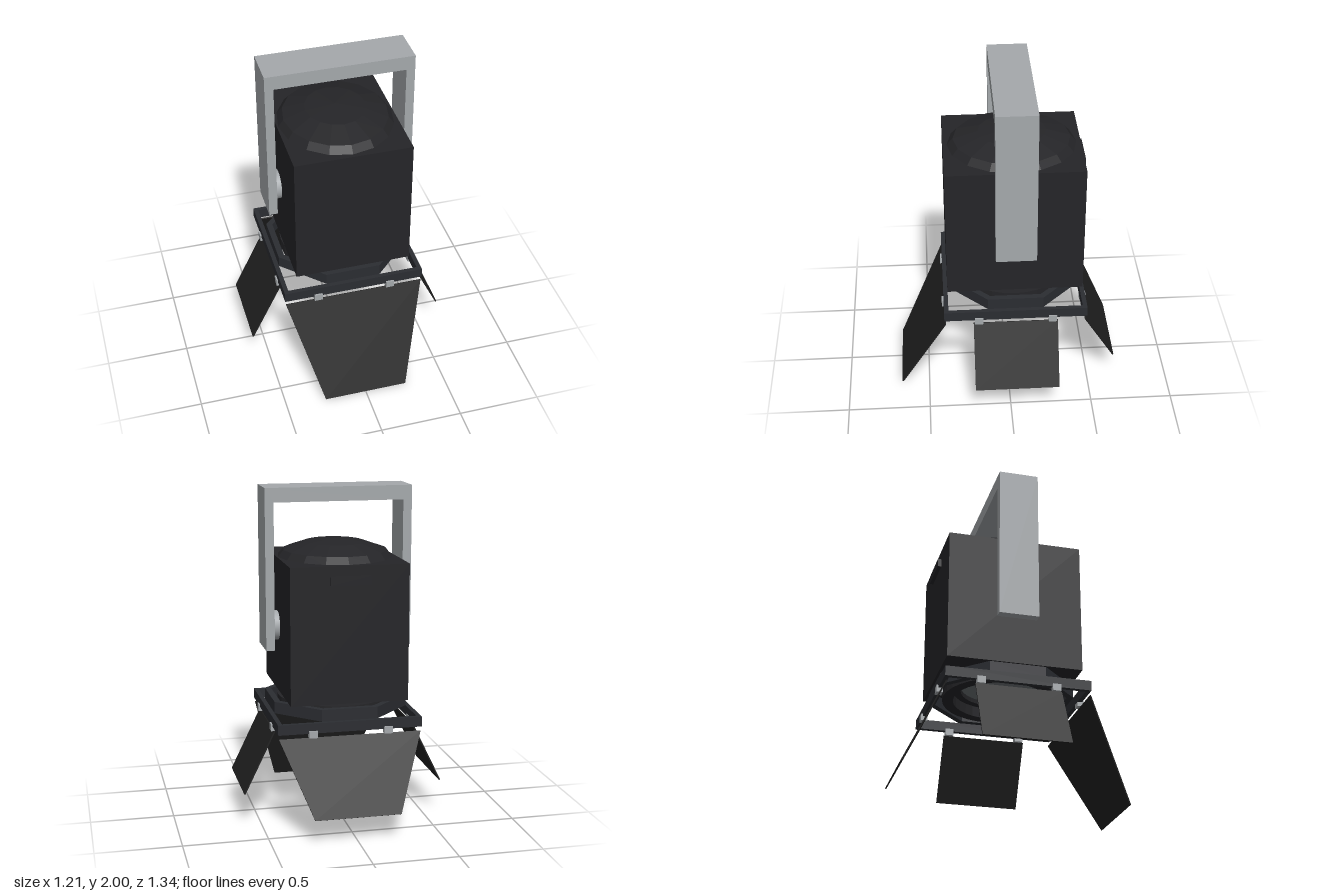
import * as THREE from 'three';

const CZ = -0.035; // depth of the lamp axis
const mat = (color, flat = true, side = THREE.FrontSide) =>
  new THREE.MeshStandardMaterial({ color, flatShading: flat, side });

export function createModel() {
  const root = new THREE.Group();
  const black = mat(0x252528), trim = mat(0x2b2d32), steel = mat(0xa5a9ac);
  const leafMat = mat(0x222222), glass = mat(0x6c7276);
  const smoothBlack = mat(0x252528, false), smoothSteel = mat(0xa5a9ac, false);

  const add = (name, geo, material, x = 0, y = 0, z = 0) => {
    const m = new THREE.Mesh(geo, material);
    m.name = name;
    m.position.set(x, y, z);
    root.add(m);
    return m;
  };
  const box = (name, material, x0, x1, y0, y1, z0, z1) =>
    add(name, new THREE.BoxGeometry(x1 - x0, y1 - y0, z1 - z0), material,
      (x0 + x1) / 2, (y0 + y1) / 2, (z0 + z1) / 2);
  const polygon = (Kind, n, r, turn) => new Kind(Array.from({ length: n }, (_, i) => {
    const a = (i / n) * Math.PI * 2 + turn;
    return new THREE.Vector2(Math.cos(a) * r, Math.sin(a) * r);
  }));
  // Flat hollow collar lying in the horizontal plane
  const collar = (name, material, n, outer, inner, y0, y1, turn = 0) => {
    const shape = polygon(THREE.Shape, n, outer, turn);
    shape.holes.push(polygon(THREE.Path, n, inner, turn));
    const g = new THREE.ExtrudeGeometry(shape, { depth: y1 - y0, bevelEnabled: false });
    g.rotateX(-Math.PI / 2);
    return add(name, g, material, 0, y0, CZ);
  };
  const lathe = (name, points, n, material) =>
    add(name, new THREE.LatheGeometry(points.map(p => new THREE.Vector2(...p)), n),
      material, 0, 0, CZ);

  // Housing with faceted cap and rear switch
  box('housing', black, -0.35, 0.35, 0.77, 1.58, -0.44, 0.37);
  const dome = lathe('domeCap',
    [[0.385, 1.575], [0.345, 1.62], [0.2, 1.665], [0, 1.682]], 16, black);
  dome.scale.x = 0.9;
  box('rearSwitch', black, -0.12, 0.12, 1.47, 1.52, -0.462, -0.435);

  // Yoke: one extruded U, plus its pivots
  const yoke = new THREE.Shape([
    [-0.44, 1.04], [-0.388, 1.04], [-0.388, 1.915], [0.388, 1.915],
    [0.388, 1.04], [0.44, 1.04], [0.44, 2], [-0.44, 2],
  ].map(p => new THREE.Vector2(...p)));
  add('yoke', new THREE.ExtrudeGeometry(yoke, { depth: 0.24, bevelEnabled: false }),
    steel, 0, 0, -0.155);
  for (const s of [-1, 1]) {
    const pivot = add('yokePivot', new THREE.CylinderGeometry(0.088, 0.088, 0.045, 24),
      smoothSteel, s * 0.37, 1.17, CZ);
    pivot.rotation.z = Math.PI / 2;
  }

  // Neck, lens and lens rings
  collar('neck', smoothBlack, 32, 0.295, 0.24, 0.735, 0.772);
  lathe('lens', [[0, 0.735], [0.09, 0.738], [0.16, 0.746], [0.24, 0.762]], 32, glass);
  collar('lensRing', smoothBlack, 32, 0.35, 0.285, 0.67, 0.74);
  const k = Math.cos(Math.PI / 8);
  collar('octagonCollar', trim, 8, 0.403 / k, 0.367 / k, 0.67, 0.74, Math.PI / 8);

  // Square frame that carries the leaves
  collar('leafFrame', trim, 4, 0.43 * Math.SQRT2, 0.403 * Math.SQRT2, 0.61, 0.67, Math.PI / 4);

  // Hinge clips, two per side
  for (const s of [-1, 1]) for (const t of [-1, 1]) {
    add('hingeClip', new THREE.BoxGeometry(0.05, 0.042, 0.038), steel,
      t * 0.225, 0.605, CZ + s * 0.422);
    add('hingeClip', new THREE.BoxGeometry(0.038, 0.042, 0.05), steel,
      s * 0.42, 0.605, CZ + t * 0.222);
  }

  // Leaf: thin tapered plate hanging from its hinge, tilted outward
  const leaf = (name, topHalf, lowHalf, drop, out, yaw, x, z) => {
    const len = Math.hypot(drop, out);
    const shape = new THREE.Shape([
      [-lowHalf, -len], [lowHalf, -len], [topHalf, 0], [-topHalf, 0],
    ].map(p => new THREE.Vector2(...p)));
    const g = new THREE.ExtrudeGeometry(shape, { depth: 0.008, bevelEnabled: false });
    g.translate(0, 0, -0.004);
    g.rotateX(-Math.atan2(out, drop));
    g.rotateY(yaw);
    add(name, g, leafMat, x, 0.583, z);
  };
  leaf('frontLeaf', 0.425, 0.255, 0.581, 0.28, 0, 0, 0.388);
  leaf('backLeaf', 0.425, 0.255, 0.433, 0.21, Math.PI, 0, -0.455);
  for (const s of [-1, 1])
    leaf('sideLeaf', 0.254, 0.254, 0.377, 0.183, s * Math.PI / 2, s * 0.42, CZ);

  return root;
}
